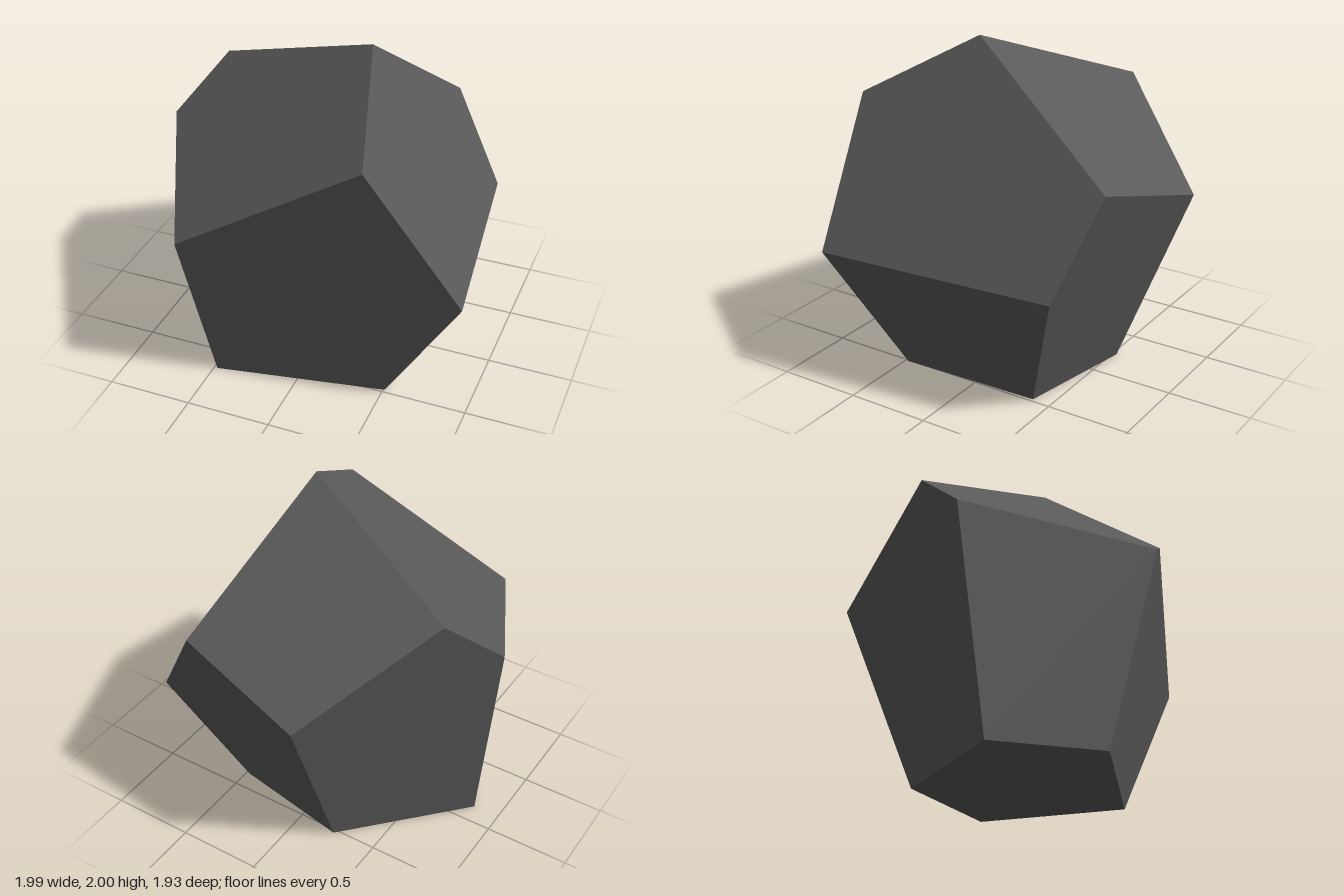
import * as THREE from 'three';

// Corners of the faceted boulder
const corners = {
  A: [-0.995, 1.3, 0.01], B: [-0.78, 1.6, -0.29], C: [0.265, 2, 0.1],
  D: [0.46, 1.62, 0.775], E: [0.99, 0.845, 0.675], F: [0.51, 0, 0.48],
  G: [-0.48, 0, 0.66], H: [-0.84, 0, 0.12], I: [-0.53, 1.07, 0.965],
  J: [0.5, 1.335, -0.83], K: [-0.27, 1.12, -0.965], L: [0.81, 0.805, -0.69],
  M: [0.48, 0, -0.385], N: [-0.24, 0, -0.525],
};

// Facets as corner loops; each is fanned from its first corner
const facets = {
  front: 'GFEDI', left: 'DELJC', lowerLeft: 'FMLE', top: 'BCJK', upperFront: 'DIABC',
  right: 'HAIG', back: 'MNKJL', backRight: 'HABKN', base: 'HGFMN',
};

function facetedGeometry() {
  const positions = [], normals = [];
  const centre = new THREE.Vector3(0, 0.95, 0);
  for (const loop of Object.values(facets)) {
    let pts = [...loop].map((k) => new THREE.Vector3(...corners[k]));

    // One averaged normal per facet keeps each facet evenly flat
    const normal = new THREE.Vector3();
    pts.forEach((p, i) => normal.add(p.clone().cross(pts[(i + 1) % pts.length])));
    normal.normalize();
    if (normal.dot(pts[0].clone().sub(centre)) < 0) {
      pts = [pts[0], ...pts.slice(1).reverse()];
      normal.negate();
    }
    for (let i = 1; i < pts.length - 1; i++) {
      for (const p of [pts[0], pts[i], pts[i + 1]]) {
        positions.push(p.x, p.y, p.z);
        normals.push(normal.x, normal.y, normal.z);
      }
    }
  }
  const geometry = new THREE.BufferGeometry();
  geometry.setAttribute('position', new THREE.Float32BufferAttribute(positions, 3));
  geometry.setAttribute('normal', new THREE.Float32BufferAttribute(normals, 3));
  return geometry;
}

export function createModel() {
  const group = new THREE.Group();
  group.name = 'rock';
  const stone = new THREE.MeshStandardMaterial({ color: 0x595959 });
  stone.name = 'dark grey stone';
  const boulder = new THREE.Mesh(facetedGeometry(), stone);
  boulder.name = 'boulder';
  group.add(boulder);
  return group;
}
